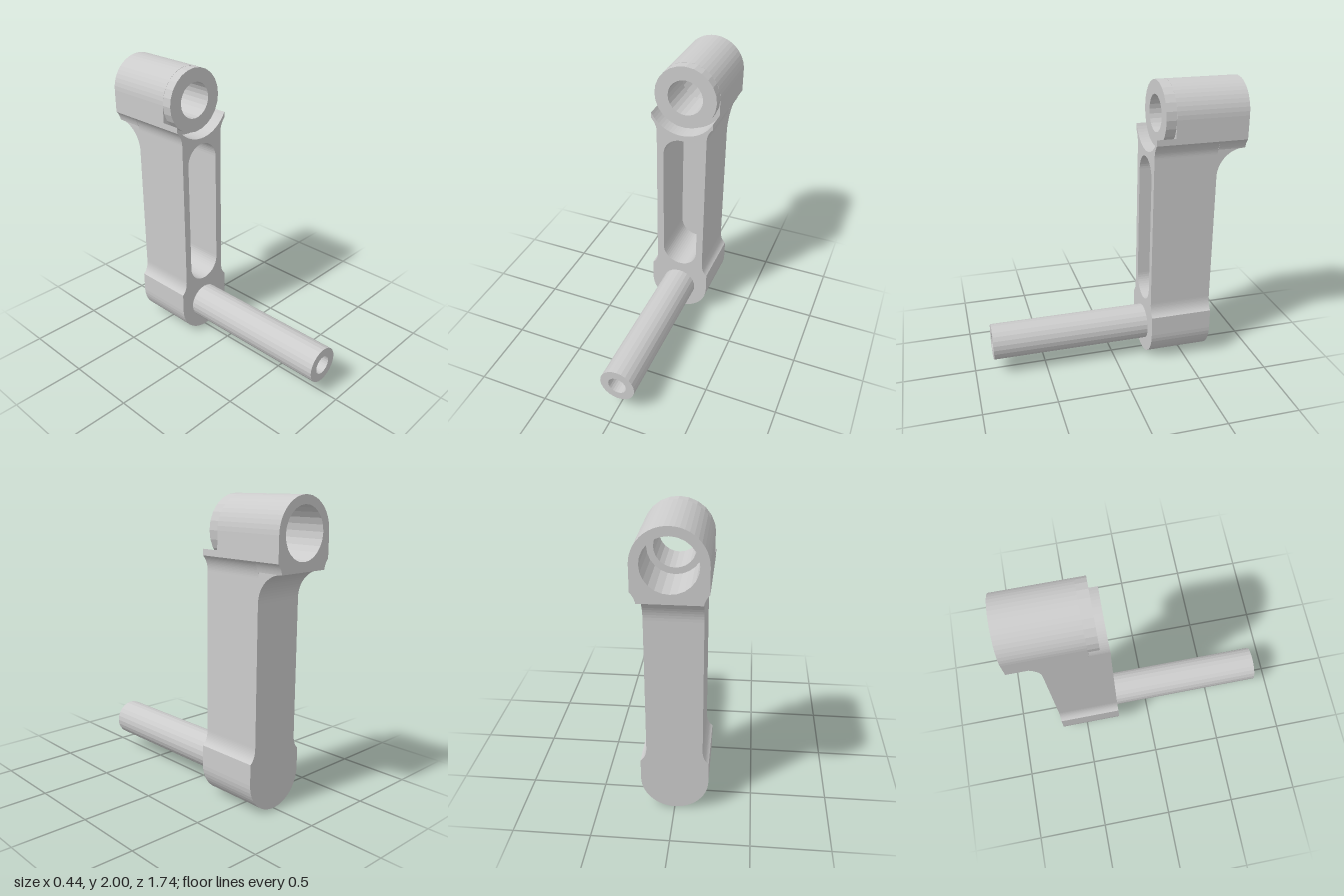
import * as THREE from 'three';

const HUB_Y = 1.78, PIN_Y = 0.22, R = 0.22, GROOVE_R = 0.25;
const BORE = 0.125, COUNTERBORE = 0.165;

export function createModel() {
  const group = new THREE.Group();
  const material = new THREE.MeshStandardMaterial({ color: 0xcccccc, flatShading: true });

  const add = (name, geometry) => {
    const mesh = new THREE.Mesh(geometry, material);
    mesh.name = name;
    group.add(mesh);
    return mesh;
  };
  // Extrude an outline between two z planes
  const slab = (name, shape, back, front) => {
    const geometry = new THREE.ExtrudeGeometry(shape, {
      depth: front - back, bevelEnabled: false, curveSegments: 12,
    });
    return add(name, geometry.translate(0, 0, back));
  };
  const circle = (r) => new THREE.Path().absarc(0, HUB_Y, r, 0, Math.PI * 2, true);
  const slot = () => {
    const p = new THREE.Path();
    p.absarc(0, 1.36, 0.13, 0, Math.PI, false);
    p.absarc(0, 0.55, 0.13, Math.PI, Math.PI * 2, false);
    p.closePath();
    return p;
  };

  // Arm outline: round foot, waisted shank, and a round or scooped top
  const armShape = (scooped, holes) => {
    const s = new THREE.Shape();
    s.moveTo(-R, 0.36);
    s.lineTo(-R, PIN_Y);
    s.absarc(0, PIN_Y, R, Math.PI, Math.PI * 2, false);
    s.lineTo(R, 0.36);
    s.quadraticCurveTo(0.18, 0.39, 0.18, 0.46);
    s.lineTo(0.18, 1.52);
    s.quadraticCurveTo(0.18, 1.58, R, 1.62);
    if (scooped) {
      const a = Math.acos(R / GROOVE_R);
      s.absarc(0, HUB_Y, GROOVE_R, -a, -Math.PI + a, true);
    } else {
      s.lineTo(R, HUB_Y);
      s.absarc(0, HUB_Y, R, 0, Math.PI, false);
    }
    s.lineTo(-R, 1.62);
    s.quadraticCurveTo(-0.18, 1.58, -0.18, 1.52);
    s.lineTo(-0.18, 0.46);
    s.quadraticCurveTo(-0.18, 0.39, -R, 0.36);
    s.holes.push(...holes);
    return s;
  };

  // Arm in layers: scooped front, pocketed middle, closed back
  slab('armFront', armShape(true, [slot()]), -0.37, -0.24);
  slab('armMiddle', armShape(false, [slot(), circle(BORE)]), -0.57, -0.37);
  slab('armInner', armShape(false, [slot(), circle(COUNTERBORE)]), -0.62, -0.57);
  slab('armBack', armShape(false, [circle(COUNTERBORE)]), -0.68, -0.62);

  // Round front lip of the hub, standing clear of the scoop
  const lip = new THREE.Shape().absarc(0, HUB_Y, R, 0, Math.PI * 2, false);
  lip.holes.push(circle(BORE));
  slab('hubFrontLip', lip, -0.37, -0.3);

  // Rear overhang of the hub with a flat underside
  const rear = new THREE.Shape();
  rear.moveTo(-0.187, 1.555);
  rear.lineTo(0.187, 1.555);
  rear.quadraticCurveTo(0.195, 1.595, R, 1.62);
  rear.lineTo(R, HUB_Y);
  rear.absarc(0, HUB_Y, R, 0, Math.PI, false);
  rear.lineTo(-R, 1.62);
  rear.quadraticCurveTo(-0.195, 1.595, -0.187, 1.555);
  rear.holes.push(circle(COUNTERBORE));
  slab('hubRear', rear, -0.87, -0.68);

  // Concave fillet under the overhang, profile drawn in (-z, y)
  const web = new THREE.Shape();
  web.moveTo(0.68, 1.555);
  web.lineTo(0.68, 1.365);
  web.absarc(0.87, 1.365, 0.19, Math.PI, Math.PI / 2, true);
  web.closePath();
  const webGeometry = new THREE.ExtrudeGeometry(web, {
    depth: 0.36, bevelEnabled: false, curveSegments: 8,
  });
  add('hubFillet', webGeometry.translate(0, 0, -0.18).rotateY(Math.PI / 2));

  // Pin with a drilled hole ending in a conical point
  const pinProfile = [
    [0.125, -0.25], [0.125, 0.87], [0.065, 0.87], [0.065, 0.55], [0, 0.51],
  ].map(([r, z]) => new THREE.Vector2(r, z));
  const pin = add('pin', new THREE.LatheGeometry(pinProfile, 24).rotateX(Math.PI / 2));
  pin.position.y = PIN_Y;

  return group;
}
